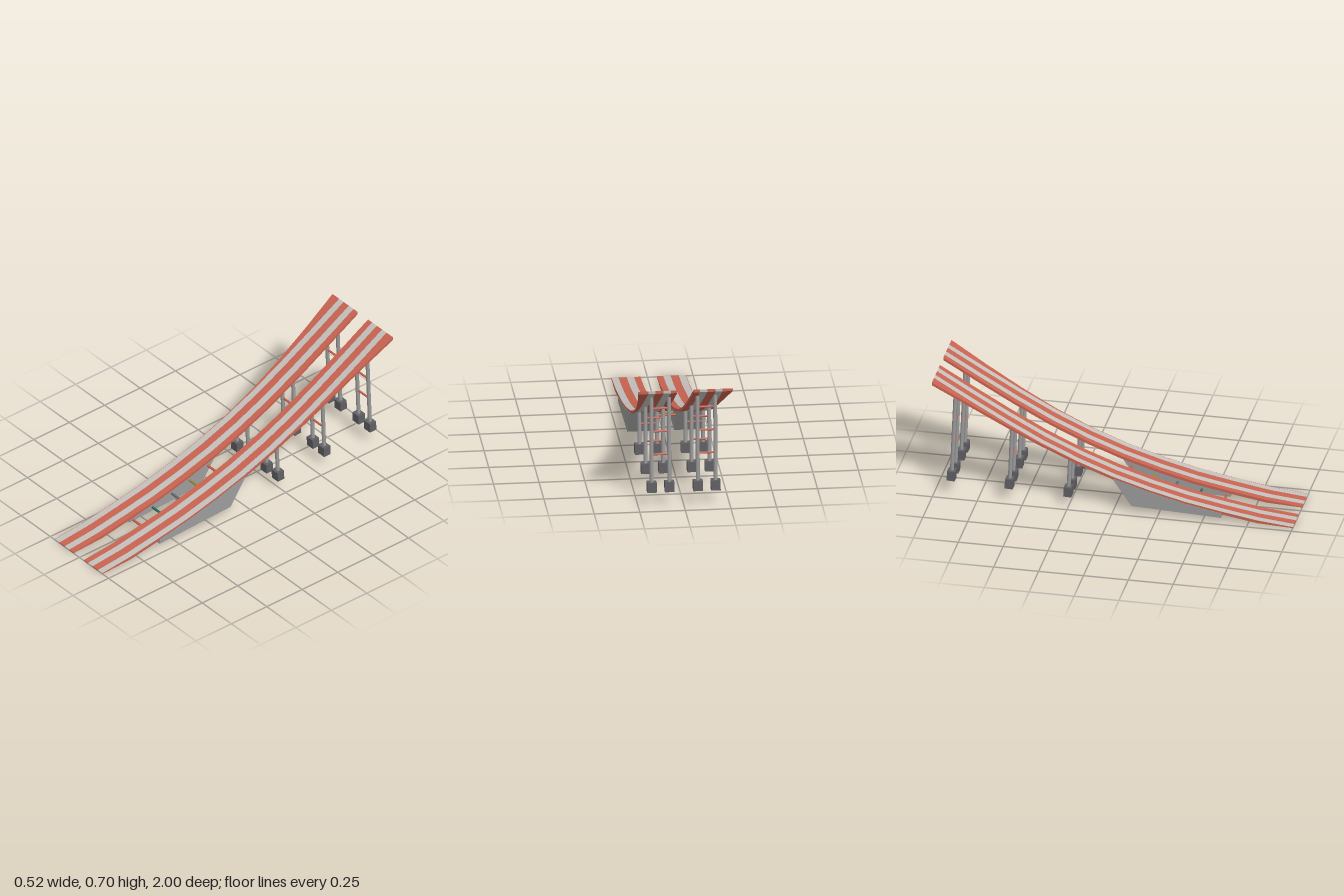
import * as THREE from 'three';

const mat = (name, color) => {
  const m = new THREE.MeshStandardMaterial({ color });
  m.name = name;
  return m;
};

// ramp centre profile as [z, top height]
const PROFILE = [[1, 0.005], [0.8, 0.025], [0.6, 0.058], [0.4, 0.095], [0.2, 0.145], [0, 0.205],
  [-0.2, 0.28], [-0.4, 0.37], [-0.6, 0.475], [-0.8, 0.588], [-1, 0.705]];

function rampY(z) {
  for (let i = 1; i < PROFILE.length; i++) {
    const [z0, y0] = PROFILE[i - 1], [z1, y1] = PROFILE[i];
    if (z >= z1 - 1e-9) return y0 + (y1 - y0) * (z0 - z) / (z0 - z1);
  }
  return 0.705;
}
const rampBottom = (z) => rampY(z) - (z > 0.8 ? 0.005 + (1 - z) * 0.055 : 0.016);
const drift = (z) => -0.003 * (1 + z);
const flare = (z) => (z < 0 ? 0.055 * Math.pow(-z, 2.1) : 0);

// solid swept along z with a rectangular section; xs run from inner to outer
function loft(zs, side, inner, outer, top, bottom) {
  const rings = zs.map((z) => {
    const e = [side * inner(z), side * outer(z)].sort((a, b) => a - b).map((x) => x + drift(z));
    const t = top(z), b = bottom(z);
    return [[e[0], t, z], [e[1], t, z], [e[1], b, z], [e[0], b, z]];
  });
  const pos = [];
  const quad = (a, b, c, d) => pos.push(...a, ...b, ...c, ...a, ...c, ...d);
  for (let i = 0; i + 1 < rings.length; i++) {
    for (let k = 0; k < 4; k++) {
      const n = (k + 1) % 4;
      quad(rings[i][k], rings[i][n], rings[i + 1][n], rings[i + 1][k]);
    }
  }
  const f = rings[0], l = rings[rings.length - 1];
  quad(f[0], f[3], f[2], f[1]);
  quad(l[0], l[1], l[2], l[3]);
  const g = new THREE.BufferGeometry();
  g.setAttribute('position', new THREE.Float32BufferAttribute(pos, 3));
  g.computeVertexNormals();
  return g;
}

// round bar between two points
function bar(a, b, r, sides = 8) {
  const p = new THREE.Vector3(...a), q = new THREE.Vector3(...b);
  const d = q.clone().sub(p);
  const g = new THREE.CylinderGeometry(r, r, d.length(), sides);
  g.applyQuaternion(new THREE.Quaternion().setFromUnitVectors(new THREE.Vector3(0, 1, 0), d.normalize()));
  g.translate((p.x + q.x) / 2, (p.y + q.y) / 2, (p.z + q.z) / 2);
  return g;
}

export function createModel() {
  const root = new THREE.Group();
  root.name = 'twinRamp';
  const red = mat('redPaint', 0xc96351);
  const pale = mat('palePaint', 0xc4c0bc);
  const steel = mat('steel', 0x9c9c9c);
  const dark = mat('footing', 0x606064);
  const olive = mat('olive', 0x9c9030);
  const slate = mat('slate', 0x6a6a74);
  const green = mat('green', 0x2a735c);
  const add = (parent, name, geo, m) => {
    const mesh = new THREE.Mesh(geo, m);
    mesh.name = name;
    parent.add(mesh);
    return mesh;
  };

  const zs = PROFILE.map((p) => p[0]);
  const edges = [0.045, 0.08, 0.12, 0.165, 0.203];

  for (const side of [-1, 1]) {
    const half = new THREE.Group();
    half.name = side > 0 ? 'leftRamp' : 'rightRamp';
    root.add(half);

    // striped deck
    for (let i = 0; i < 4; i++) {
      add(half, 'deckStripe', loft(zs, side, () => edges[i], () => edges[i + 1], rampY, rampBottom),
        i % 2 ? pale : red);
    }
    // flared outer edge
    add(half, 'flaredEdge', loft(zs, side, () => 0.203, (z) => 0.205 + flare(z), rampY, rampBottom), red);

    // wedge support under the lower deck
    add(half, 'wedgeSupport', loft([0.6, 0.4, 0.2, 0.1, 0], side, () => 0.05, () => 0.207,
      (z) => rampY(z) - 0.01,
      (z) => (z >= 0.1 ? 0.044 - 0.04 * z : 0.188)), steel);

    // ladder-like trestles: [top z, foot z, foot height]
    for (const [zt, zf, yf] of [[-0.247, -0.257, 0.08], [-0.57, -0.584, 0.095], [-0.885, -0.907, 0.11]]) {
      const trestle = new THREE.Group();
      trestle.name = 'trestle';
      half.add(trestle);
      const yt = rampY(zt) - 0.008;
      const xs = [0.078, 0.175].map((x) => x * side);
      for (const x of xs) {
        add(trestle, 'post', bar([x, yf, zf], [x, yt, zt], 0.011), steel);
        const foot = add(trestle, 'foot', new THREE.BoxGeometry(0.052, 0.056, 0.045), dark);
        foot.position.set(x, yf, zf);
        foot.rotation.x = 0.04;
      }
      for (let y = yt - 0.07; y > yf + 0.06; y -= 0.132) {
        const z = zf + (zt - zf) * (y - yf) / (yt - yf);
        add(trestle, 'trestleRung', bar([xs[0], y, z], [xs[1], y, z], 0.006), red);
      }
    }
  }

  // coloured cross bars joining the two ramps
  const cross = [[0.05, 0.15, red], [0.18, 0.113, olive], [0.305, 0.08, slate], [0.44, 0.049, green], [0.578, 0.029, red]];
  for (const [z, y, m] of cross) {
    add(root, 'crossBar', bar([-0.13, y, z], [0.13, y, z], 0.007), m);
  }
  return root;
}
